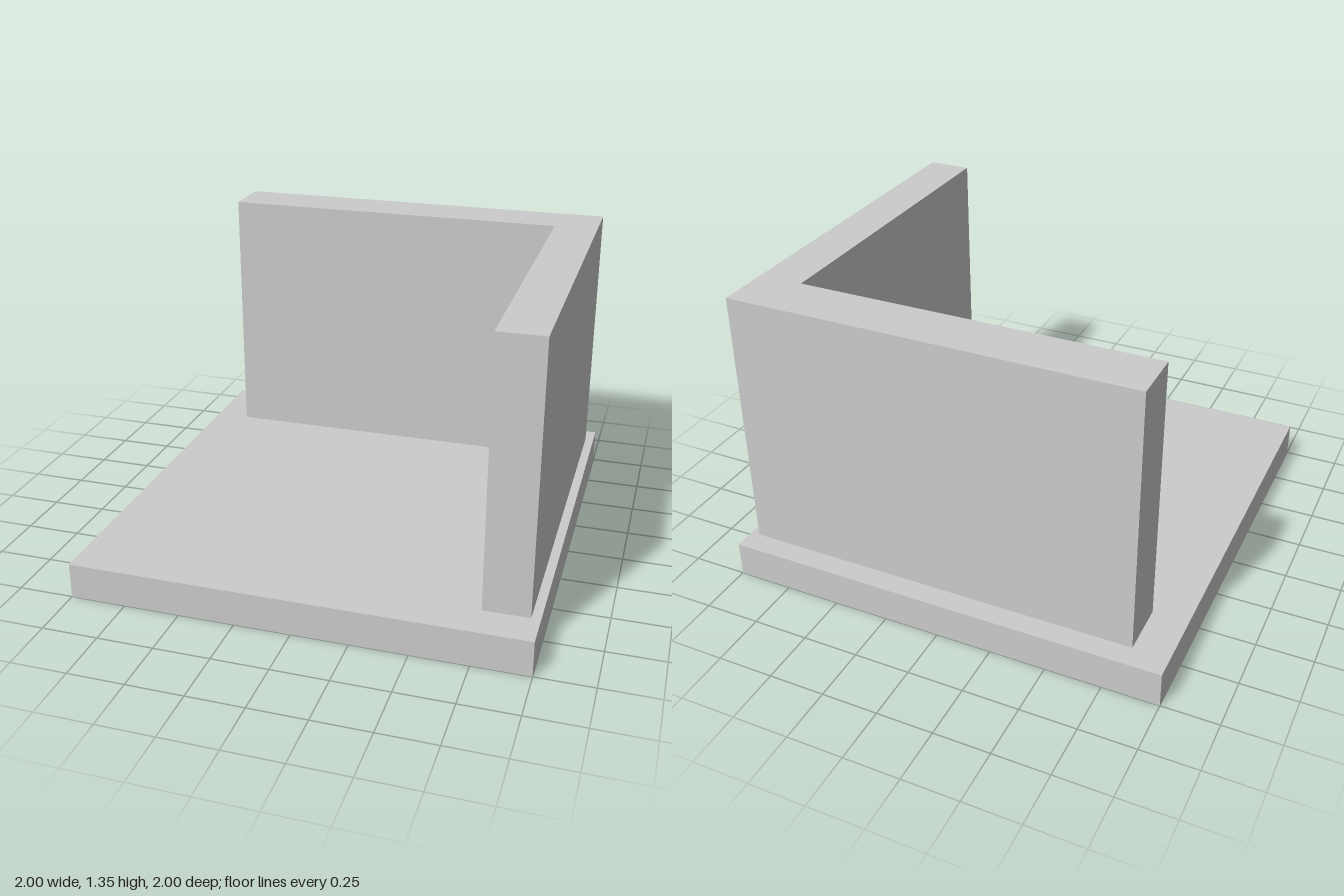
import * as THREE from 'three';

export function createModel() {
  const model = new THREE.Group();
  const material = new THREE.MeshStandardMaterial({ color: 0xcccccc, flatShading: true });
  const baseHeight = 0.16;
  const totalHeight = 1.35;

  // Square base slab
  const base = new THREE.Mesh(new THREE.BoxGeometry(2, baseHeight, 2), material);
  base.name = 'baseSlab';
  base.position.y = baseHeight / 2;
  model.add(base);

  // L-shaped wall: plan outline as [x, z], extruded upwards
  const plan = [
    [-0.84, -0.66], [0.76, -0.66], [0.76, 0.84],
    [0.96, 0.84], [0.96, -0.9], [-0.84, -0.9],
  ];
  const outline = new THREE.Shape(plan.map(([x, z]) => new THREE.Vector2(x, -z)));
  const wallGeometry = new THREE.ExtrudeGeometry(outline, {
    depth: totalHeight - baseHeight,
    bevelEnabled: false,
  });
  wallGeometry.rotateX(-Math.PI / 2);
  const wall = new THREE.Mesh(wallGeometry, material);
  wall.name = 'cornerWall';
  wall.position.y = baseHeight;
  model.add(wall);

  return model;
}
